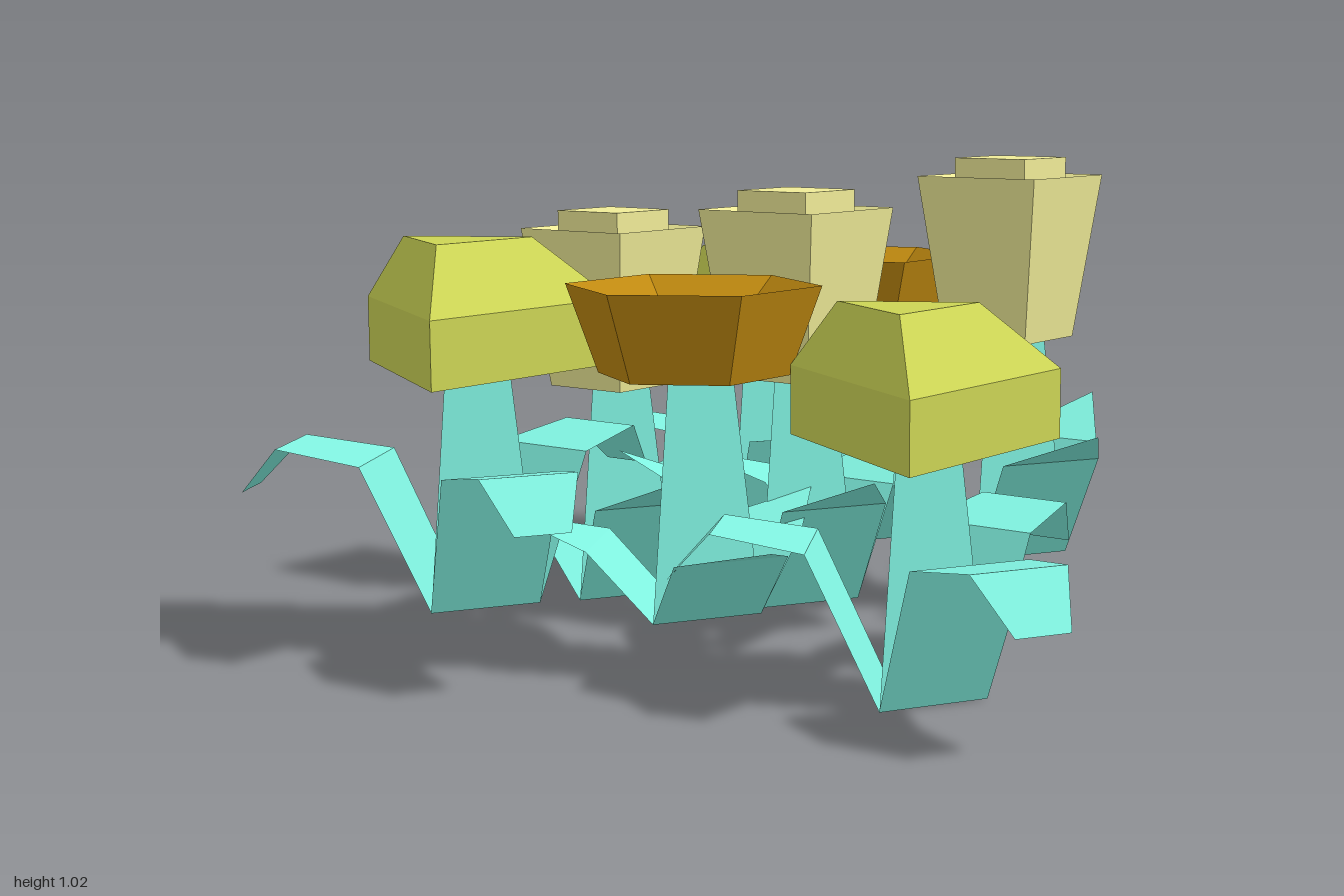
import * as THREE from 'three';

const mat = (color) => new THREE.MeshStandardMaterial({ color, flatShading: true, side: THREE.DoubleSide });
const teal = mat(0x80f2e0), olive = mat(0xccd455), pale = mat(0xf0ec98), brown = mat(0xc08a10), grey = mat(0xcccccc);

const STEM = 0.49; // stem height
const SIDE = 0.067; // distance from stem axis to a side of its foot

// Revolved profile with few sides; radii are corner radii
function faceted(name, profile, sides, start, material) {
  const pts = profile.map(([r, y]) => new THREE.Vector2(r, y));
  const mesh = new THREE.Mesh(new THREE.LatheGeometry(pts, sides, start), material);
  mesh.name = name;
  return mesh;
}

// Thin leaf along +x from rows of [distance, height, half width]
function leaf(rows) {
  const pos = [], idx = [];
  rows.forEach(([x, y, w], i) => {
    pos.push(x, y, w, x, y, -w);
    if (i) {
      const a = 2 * i - 2;
      idx.push(a, a + 2, a + 1, a + 1, a + 2, a + 3);
    }
  });
  const geo = new THREE.BufferGeometry();
  geo.setAttribute('position', new THREE.Float32BufferAttribute(pos, 3));
  geo.setIndex(idx);
  geo.computeVertexNormals();
  const mesh = new THREE.Mesh(geo, teal);
  mesh.name = 'leaf';
  return mesh;
}

// Triangular cap whose top is smaller and set back
function triangleHead() {
  const head = faceted('triangleHead', [[0, 0], [0.31, 0], [0.31, 0.14], [0.16, 0.275], [0, 0.275]], 3, Math.PI, olive);
  const p = head.geometry.attributes.position;
  for (let i = 0; i < p.count; i++) if (p.getY(i) > 0.2) p.setZ(i, p.getZ(i) - 0.035);
  return head;
}

// Six-sided open cup with a grey floor
function cupHead() {
  const head = new THREE.Group();
  head.name = 'cupHead';
  head.add(
    faceted('cup', [[0, 0], [0.195, 0], [0.26, 0.18], [0.13, 0.08]], 6, Math.PI / 2, brown),
    faceted('cupFloor', [[0.13, 0.08], [0, 0.08]], 6, Math.PI / 2, grey)
  );
  return head;
}

// Square bud with a recessed rim and a raised core
function budHead() {
  const profile = [[0, 0], [0.105, 0], [0.15, 0.365], [0.09, 0.3], [0.09, 0.405], [0, 0.405]];
  return faceted('budHead', profile.map(([r, y]) => [r * Math.SQRT2, y]), 4, Math.PI / 4, pale);
}

const kinds = {
  triangle: { head: triangleHead, rows: [[SIDE, 0, 0.117], [0.21, 0.305, 0.125], [0.395, 0.335, 0.1], [0.485, 0.235, 0.057]] },
  cup: { head: cupHead, rows: [[SIDE, 0, 0.117], [0.2, 0.145, 0.12], [0.4, 0.2, 0]] },
  bud: { head: budHead, rows: [[SIDE, 0, 0.117], [0.2, 0.235, 0.12], [0.395, 0.32, 0]] },
};

// Stem, three leaves and a head
function flower(kind, x, y, z) {
  const g = new THREE.Group();
  g.name = kind + 'Flower';
  g.position.set(x, y, z);
  g.add(faceted('stem', [[0, 0], [SIDE * 2, 0], [0.08, STEM], [0, STEM]], 3, -Math.PI / 2, teal));
  for (let i = 0; i < 3; i++) {
    const l = leaf(kinds[kind].rows);
    l.rotation.y = (i * Math.PI * 2) / 3;
    g.add(l);
  }
  const head = kinds[kind].head();
  head.position.y = STEM;
  g.add(head);
  return g;
}

export function createModel() {
  const model = new THREE.Group();
  model.name = 'flowerPatch';
  const layout = [
    ['triangle', -0.71, 0.1, -0.395],
    ['triangle', 0.49, 0, -0.55],
    ['triangle', -0.48, 0, 0.57],
    ['cup', -0.57, 0.118, 0.085],
    ['cup', 0.245, 0.118, -0.09],
    ['bud', -0.135, 0, -0.505],
    ['bud', -0.155, 0.063, 0.035],
    ['bud', 0.285, 0.125, 0.305],
  ];
  for (const f of layout) model.add(flower(...f));
  return model;
}
